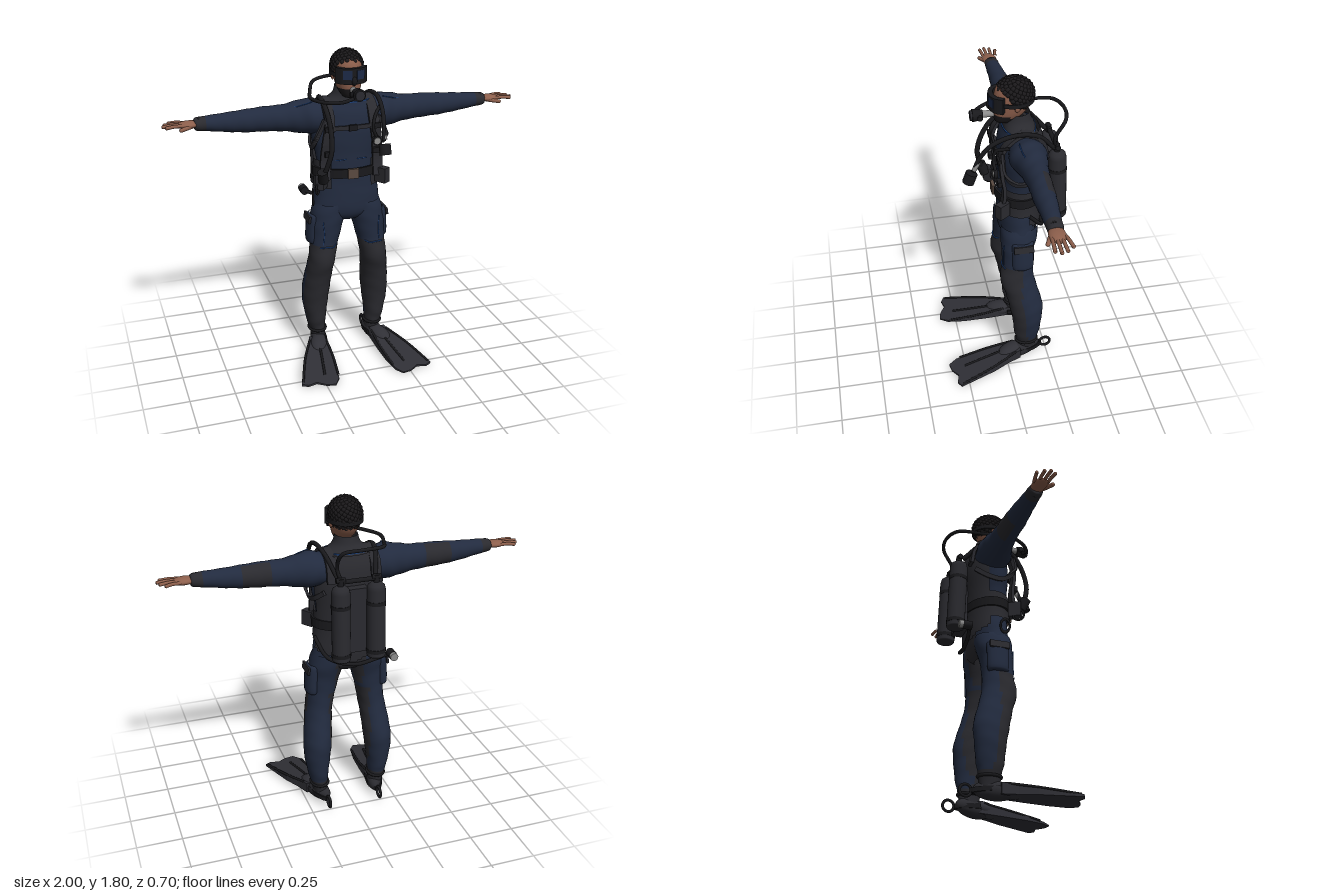
import * as THREE from 'three';
import { mergeGeometries } from 'three/addons/utils/BufferGeometryUtils.js';

const mat = (name, color, side = THREE.FrontSide) => Object.assign(new THREE.MeshStandardMaterial({ color, side }), { name });
const suit = mat('navy suit', 0x222b3f), gear = mat('charcoal gear', 0x2a2a2f, THREE.DoubleSide);
const rubber = mat('black rubber', 0x19191c), fin = mat('fin grey', 0x303036), skin = mat('skin', 0x8d5f4c);
const hair = mat('hair', 0x1b191b), trim = mat('blue trim', 0x1d437f), metal = mat('metal', 0x8c8c8c);
const bronze = mat('bronze buckle', 0x5a4a40), lens = mat('blue lens', 0x1d2a48);
const V = (p) => new THREE.Vector3(...p);

function add(parent, name, geo, material, pos = [0, 0, 0], rot = [0, 0, 0], scale = [1, 1, 1]) {
  const m = new THREE.Mesh(geo, material);
  m.name = name;
  m.position.set(...pos); m.rotation.set(...rot); m.scale.set(...scale);
  parent.add(m);
  return m;
}

// Smooth skin through elliptical rings [height, cx, cz, rx, rz]; pick gives a material index, or -1 for a gap
function loft(rings, { seg = 28, sub = 4, pick = () => 0, ripple = 0 } = {}) {
  const rows = [], cr = (a, b, c, d, t) => b + 0.5 * t * (c - a + t * (2 * a - 5 * b + 4 * c - d + t * (3 * (b - c) + d - a)));
  const at = (i) => rings[Math.min(Math.max(i, 0), rings.length - 1)];
  for (let i = 0; i < (rings.length - 1) * sub + 1; i++) {
    const k = Math.floor(i / sub), t = (i % sub) / sub;
    rows.push(at(k).map((_, c) => cr(at(k - 1)[c], at(k)[c], at(k + 1)[c], at(k + 2)[c], t)));
  }
  const pos = [], buckets = [], w = seg;
  for (const [h, cx, cz, rx, rz] of rows) for (let j = 0; j < seg; j++) {
    const a = j / seg * Math.PI * 2, f = 1 + ripple * Math.sin(h * 70 + 1.6 * Math.sin(2 * a));
    pos.push(cx + Math.cos(a) * rx * f, h, cz + Math.sin(a) * rz * f);
  }
  const quad = (a, b, c, d) => {
    const mid = [0, 1, 2].map((k) => (pos[a * 3 + k] + pos[d * 3 + k]) / 2), m = pick(...mid);
    if (m >= 0) (buckets[m] ??= []).push(a, b, c, b, d, c);
  };
  for (let i = 0; i < rows.length - 1; i++) for (let j = 0; j < seg; j++) {
    const n = (j + 1) % seg;
    quad(i * w + j, (i + 1) * w + j, i * w + n, (i + 1) * w + n);
  }
  const g = new THREE.BufferGeometry(), index = [];
  g.setAttribute('position', new THREE.Float32BufferAttribute(pos, 3));
  buckets.forEach((b, m) => { g.addGroup(index.length, b.length, m); index.push(...b); });
  g.setIndex(index);
  g.computeVertexNormals();
  return g;
}

// Flat webbing of rectangular section along a curve, wide in direction w
function band(points, width, thick, w, closed = false, n = 32) {
  const curve = new THREE.CatmullRomCurve3(points.map(V), closed), rows = [], pos = [];
  for (let i = 0; i <= n; i++) {
    const p = curve.getPointAt(i / n), t = curve.getTangentAt(i / n);
    const u = V(w).addScaledVector(t, -V(w).dot(t)).normalize(), v = t.clone().cross(u);
    rows.push([[-1, -1], [1, -1], [1, 1], [-1, 1]].map(([a, b]) => p.clone().addScaledVector(u, a * width / 2).addScaledVector(v, b * thick / 2)));
  }
  const tri = (...ps) => ps.forEach((p) => pos.push(p.x, p.y, p.z));
  for (let i = 0; i < n; i++) for (let j = 0; j < 4; j++) {
    const k = (j + 1) % 4, A = rows[i], B = rows[i + 1];
    tri(A[j], A[k], B[j]); tri(A[k], B[k], B[j]);
  }
  const s = rows[0], e = rows[n];
  tri(s[0], s[2], s[1]); tri(s[0], s[3], s[2]); tri(e[0], e[1], e[2]); tri(e[0], e[2], e[3]);
  const g = new THREE.BufferGeometry();
  g.setAttribute('position', new THREE.Float32BufferAttribute(pos, 3));
  g.computeVertexNormals();
  return g;
}
const hoop = (y, cz, rx, rz) => Array.from({ length: 16 }, (_, i) => [Math.cos(i * Math.PI / 8) * rx, y, cz + Math.sin(i * Math.PI / 8) * rz]);
const tube = (pts, r, n = 40) => new THREE.TubeGeometry(new THREE.CatmullRomCurve3(pts.map(V)), n, r, 8);
const cyl = (r, h, r2 = r) => new THREE.CylinderGeometry(r, r2, h, 20);
const box = (x, y, z) => new THREE.BoxGeometry(x, y, z);
const ball = () => new THREE.SphereGeometry(1, 20, 14);

// Everything that exists once per side, modelled on +x
function buildSide() {
  const g = new THREE.Group();
  add(g, 'leg', loft([[.05, .165, -.125, .04, .05], [.12, .172, -.125, .045, .06], [.16, .177, -.125, .053, .066], [.2, .18, -.125, .058, .075],
    [.3, .183, -.125, .073, .085], [.4, .178, -.118, .079, .097], [.5, .168, -.095, .077, .095], [.6, .155, -.068, .075, .097],
    [.7, .14, -.072, .08, .087], [.8, .125, -.075, .092, .092], [.88, .11, -.085, .098, .103], [.94, .1, -.088, .088, .1]], {
    ripple: .014, pick: (x, y, z) => (y < .15 || (y < .69 && (z > -.085 - .1 * Math.max(0, .5 - y) || x < .12)) || (y > .72 && z < -.1 && x < .08)) ? 1 : 0 }), [suit, gear]);
  add(g, 'kneeTrim', tube([[.085, .7, -.012], [.11, .69, .012], [.145, .695, .018], [.185, .69, .004]], .004, 16), trim);
  add(g, 'thighTrim', tube([[.165, .85, .008], [.16, .78, .01], [.165, .71, .011]], .0025, 12), trim);
  add(g, 'thighPocket', loft([[.7, .2, -.09, .02, .045], [.715, .203, -.09, .036, .06], [.79, .2, -.09, .038, .062], [.86, .19, -.09, .042, .062], [.875, .185, -.09, .03, .05]], { seg: 16 }), suit);
  add(g, 'pocketFlap', box(.012, .04, .11), gear, [.229, .85, -.09], [0, 0, .15]);

  // sleeve, laid out along +x
  add(g, 'arm', loft([[.12, -1.43, -.11, .08, .09], [.2, -1.435, -.11, .096, .1], [.27, -1.435, -.115, .088, .082], [.35, -1.435, -.115, .073, .068],
    [.45, -1.438, -.115, .068, .06], [.55, -1.438, -.112, .062, .058], [.65, -1.44, -.11, .053, .05], [.75, -1.445, -.105, .042, .043],
    [.82, -1.447, -.103, .034, .038], [.83, -1.447, -.103, .015, .02]], {
    ripple: .018, pick: (a, h, z) => (h > .77 || (h > .43 && h < .58 && z < -.125)) ? 1 : 0 }), [suit, gear], [0, 0, 0], [0, 0, -Math.PI / 2]);
  add(g, 'cuff', cyl(.037, .02), rubber, [.8, 1.447, -.103], [0, 0, Math.PI / 2]);
  add(g, 'shoulderTrim', tube([[.2, 1.525, -.06], [.25, 1.512, -.063], [.31, 1.497, -.075]], .003, 12), trim);
  // hand
  add(g, 'palm', ball(), skin, [.86, 1.449, -.1], [0, 0, -.02], [.062, .02, .042]);
  [[-.137, .965, -.152], [-.114, .99, -.12], [-.091, 1, -.09], [-.069, .985, -.062]].forEach(([z, x, ez]) =>
    add(g, 'finger', tube([[.88, 1.451, z], [(x + .88) / 2, 1.454, (z + ez) / 2], [x - .004, 1.449, ez]], .0095, 8), skin) &&
    add(g, 'fingertip', ball(), skin, [x - .009, 1.45, ez], [0, 0, 0], [.009, .0093, .0093]));
  add(g, 'thumb', new THREE.CapsuleGeometry(.011, .065, 4, 10), skin, [.875, 1.44, -.06], [0, -.45, Math.PI / 2 - .1]);

  // boot and swim fin
  add(g, 'boot', ball(), gear, [.175, .055, -.1], [.1, .3, 0], [.047, .052, .112]);
  add(g, 'ankleBand', new THREE.TorusGeometry(.048, .009, 8, 20), rubber, [.172, .125, -.125], [Math.PI / 2, 0, 0], [1, 1.25, 1]);
  const outline = [[.14, -.08], [.235, -.08], [.265, 0], [.31, .09], [.385, .3], [.35, .318], [.3, .305], [.25, .338], [.2, .347], [.168, .3], [.15, .2], [.142, .06]];
  const blade = new THREE.ExtrudeGeometry(new THREE.Shape(outline.map(([x, z]) => new THREE.Vector2(x, -z))), { depth: 1, bevelEnabled: false });
  blade.rotateX(-Math.PI / 2);
  const top = (z) => .012 + .075 * Math.max(0, (.34 - z) / .42);
  const p = blade.attributes.position;
  for (let i = 0; i < p.count; i++) p.setY(i, p.getY(i) > .5 ? top(p.getZ(i)) : .004 + .022 * Math.max(0, (.34 - p.getZ(i)) / .42));
  blade.computeVertexNormals();
  add(g, 'finBlade', blade, fin);
  [[[.145, -.05], [.147, .1], [.165, .28]], [[.24, -.05], [.31, .1], [.375, .29]], [[.195, 0], [.215, .12], [.24, .26]]].forEach((r) =>
    add(g, 'finRib', tube(r.map(([x, z]) => [x, top(z), z]), .007, 12), rubber));
  add(g, 'footPocket', ball(), fin, [.19, .058, -.03], [.18, .32, 0], [.052, .042, .09]);
  add(g, 'heelStrap', band([[.13, .06, -.07], [.125, .055, -.16], [.155, .052, -.215], [.195, .055, -.17], [.225, .06, -.07]], .025, .008, [0, 1, 0]), rubber);
  add(g, 'heelRing', new THREE.TorusGeometry(.031, .008, 8, 24), rubber, [.152, .052, -.245], [0, Math.PI / 2, 0]);

  // harness
  add(g, 'shoulderStrap', band([[.15, 1.1, .02], [.15, 1.2, .005], [.14, 1.32, .02], [.125, 1.42, .018], [.125, 1.49, -.025], [.12, 1.53, -.1], [.12, 1.48, -.2], [.12, 1.38, -.225]], .055, .018, [1, 0, 0]), gear);
  add(g, 'armholeStrap', band([[.15, 1.44, .015], [.2, 1.33, .005], [.205, 1.27, -.06], [.195, 1.28, -.14], [.16, 1.33, -.21]], .025, .014, [.3, 1, .3]), gear);
  for (const y of [1.25, 1.39]) add(g, 'strapBuckle', box(.045, .03, .022), rubber, [.135, y, .03]);
  add(g, 'beltPouch', box(.045, .085, .07), gear, [.175, 1.1, .02], [0, .6, 0]);
  // tank
  const tank = new THREE.Group();
  tank.name = 'tank'; tank.position.set(.097, 1.18, -.294); tank.rotation.x = .035;
  add(tank, 'tankBody', new THREE.LatheGeometry([[0, -.205], [.046, -.205], [.05, -.198], [.05, .17], [.044, .195], [.025, .21], [0, .212]].map((q) => new THREE.Vector2(...q)), 24), gear);
  for (const y of [-.17, .1]) add(tank, 'tankBand', cyl(.052, .02), rubber, [0, y, 0]);
  add(tank, 'tankValve', cyl(.016, .05), rubber, [0, .225, 0]);
  add(tank, 'valveKnob', cyl(.014, .05), rubber, [0, .24, 0], [0, 0, Math.PI / 2]);
  g.add(tank);
  add(g, 'ear', ball(), skin, [.079, 1.66, -.075], [0, .3, 0], [.01, .026, .016]);
  return g;
}

export function createModel() {
  const model = new THREE.Group();
  model.name = 'scubaDiver';
  const left = buildSide(), right = buildSide();
  left.name = 'leftSide'; right.name = 'rightSide'; right.scale.x = -1;
  model.add(left, right);

  // torso and vest
  add(model, 'torso', loft([[.84, 0, -.085, .08, .07], [.88, 0, -.087, .19, .1], [.95, 0, -.088, .19, .108], [1.05, 0, -.09, .176, .105], [1.13, 0, -.09, .163, .104],
    [1.22, 0, -.095, .175, .108], [1.32, 0, -.097, .197, .115], [1.4, 0, -.1, .2, .115], [1.46, 0, -.1, .19, .105], [1.505, 0, -.1, .16, .09],
    [1.535, 0, -.097, .1, .08], [1.56, 0, -.092, .073, .072], [1.6, 0, -.09, .062, .066]], {
    seg: 36, ripple: .006, pick: (x, y, z) => (y > 1.515 || (z < -.1 && Math.abs(x) < .09)) ? 1 : 0 }), [suit, gear]);
  add(model, 'vest', loft([[.9, 0, -.09, .19, .125], [.97, 0, -.092, .198, .128], [1.08, 0, -.095, .186, .125], [1.22, 0, -.1, .187, .125],
    [1.35, 0, -.104, .2, .13], [1.45, 0, -.105, .19, .122], [1.515, 0, -.105, .14, .1]], {
    seg: 48, sub: 6, pick: (x, y, z) => (z < -.13 && y > .9 + .5 * Math.abs(x) ** 1.1) || (y > 1.04 && y < 1.2 && Math.abs(x) > .115) ? 0 : -1 }), gear);
  add(model, 'collarTrim', band(hoop(1.518, -.097, .14, .087), .006, .006, [0, 1, 0], true), trim);
  for (const s of [-1, 1]) add(model, 'chestTrim', tube([[s * .03, 1.205, .014], [s * .09, 1.2, .001]], .0025, 6), trim);
  add(model, 'belt', band(hoop(1.13, -.093, .19, .128), .052, .012, [0, 1, 0], true, 48), rubber);
  add(model, 'beltBuckle', box(.06, .055, .016), bronze, [0, 1.13, .042]);
  add(model, 'sternumStrap', band([[-.13, 1.39, .025], [0, 1.388, .028], [.13, 1.39, .025]], .024, .01, [0, 1, 0]), gear);
  add(model, 'sternumClip', box(.045, .032, .016), rubber, [0, 1.388, .032]);
  add(model, 'backPlate', box(.11, .36, .06), gear, [0, 1.18, -.25]);
  add(model, 'manifold', cyl(.012, .2), rubber, [0, 1.41, -.285], [0, 0, Math.PI / 2]);

  // hoses and gauges
  add(model, 'breathingHose', tube([[0, 1.585, .125], [-.08, 1.56, .125], [-.16, 1.55, .07], [-.21, 1.55, -.03], [-.18, 1.555, -.17], [-.12, 1.58, -.3], [0, 1.59, -.34], [.1, 1.575, -.325], [.11, 1.48, -.27], [.09, 1.41, -.28]], .01, 80), rubber);
  add(model, 'spareHose', tube([[.1, 1.41, -.27], [.14, 1.52, -.17], [.155, 1.545, -.05], [.15, 1.5, .07], [.14, 1.42, .135], [.13, 1.34, .165]], .012), rubber);
  add(model, 'spareConnector', cyl(.012, .05), metal, [.137, 1.37, .152], [-.5, 0, 0]);
  add(model, 'spareRegulator', cyl(.032, .06), rubber, [.13, 1.3, .185], [-.35, 0, 0]);
  add(model, 'inflatorHose', tube([[-.1, 1.41, -.27], [-.14, 1.53, -.13], [-.14, 1.49, 0], [-.135, 1.4, .07], [-.14, 1.29, .1], [-.16, 1.2, .085], [-.18, 1.13, .06]], .014), rubber);
  add(model, 'inflator', cyl(.028, .07), rubber, [-.18, 1.14, .065], [.4, 0, .2]);
  add(model, 'gaugeHose', tube([[.17, 1.48, -.02], [.12, 1.44, .045], [.11, 1.38, .055], [.13, 1.33, .05]], .009), rubber);
  add(model, 'gaugeCase', cyl(.026, .02), rubber, [.13, 1.31, .05], [Math.PI / 2, 0, 0]);
  add(model, 'gaugeFace', cyl(.018, .006), metal, [.13, 1.31, .062], [Math.PI / 2, 0, 0]);
  add(model, 'hipHose', tube([[.19, 1.05, -.12], [.14, .95, -.2], [0, .9, -.225], [-.12, .92, -.235], [-.2, .95, -.25]], .011), rubber);
  add(model, 'hipHoseEnd', cyl(.024, .05), rubber, [-.2, .95, -.265], [Math.PI / 2, 0, 0]);
  add(model, 'hipHoseCap', cyl(.022, .022), metal, [-.2, .95, -.3], [Math.PI / 2, 0, 0]);
  add(model, 'clipRing', new THREE.TorusGeometry(.03, .006, 8, 24), rubber, [-.2, 1.06, .03], [0, 1, 0]);
  add(model, 'hipClip', new THREE.TorusGeometry(.025, .006, 8, 20), rubber, [-.205, .98, -.05], [0, 1.3, 0], [1, 1.6, 1]);

  // head and hair
  add(model, 'head', loft([[1.545, 0, -.025, .012, .02], [1.555, 0, -.022, .04, .05], [1.6, 0, -.045, .064, .083], [1.65, 0, -.06, .075, .1], [1.7, 0, -.067, .078, .101],
    [1.75, 0, -.072, .07, .088], [1.785, 0, -.074, .03, .04]], { pick: (x, y, z) => (y < 1.605 && z > -.05) ? 1 : 0 }), [skin, hair]);
  const inHair = (x, y, z) => y > 1.6 + .14 * THREE.MathUtils.smoothstep(z, -.11, -.01);
  const knobs = [];
  for (let i = 0; i < 260; i++) {
    const h = 1 - 2 * (i + .5) / 260, a = i * 2.39996, r = Math.sqrt(1 - h * h);
    const q = [Math.cos(a) * r * .08, 1.702 + h * .085, -.075 + Math.sin(a) * r * .095];
    if (inHair(...q)) knobs.push(new THREE.IcosahedronGeometry(.0145, 1).translate(...q));
  }
  add(model, 'hairKnobs', mergeGeometries(knobs), hair);
  add(model, 'hairCap', loft(Array.from({ length: 13 }, (_, i) => {
    const a = -Math.PI / 2 + i * Math.PI / 12;
    return [1.702 + Math.sin(a) * .09, 0, -.075, Math.cos(a) * .084, Math.cos(a) * .1];
  }), { sub: 2, pick: (x, y, z) => (inHair(x, y, z) ? 0 : -1) }), hair);

  // mask and mouthpiece
  add(model, 'maskStrap', band(hoop(1.675, -.07, .091, .106), .022, .007, [0, 1, 0], true), rubber);
  add(model, 'maskFrame', band([[-.078, 1.675, -.005], [-.05, 1.675, .035], [0, 1.675, .05], [.05, 1.675, .035], [.078, 1.675, -.005]], .085, .025, [0, 1, 0]), rubber);
  for (const s of [-1, 1]) add(model, 'maskLens', box(.05, .048, .006), lens, [s * .036, 1.682, .054], [0, s * .36, 0]);
  add(model, 'nosePocket', ball(), rubber, [0, 1.65, .055], [0, 0, 0], [.016, .026, .018]);
  add(model, 'mouthpiece', cyl(.018, .08), metal, [0, 1.597, .06], [Math.PI / 2, 0, 0]);
  add(model, 'regulatorBody', cyl(.034, .055, .027), rubber, [0, 1.595, .12], [Math.PI / 2, 0, 0]);
  add(model, 'regulatorCover', cyl(.026, .014), gear, [0, 1.595, .152], [Math.PI / 2, 0, 0]);
  add(model, 'regulatorValve', cyl(.014, .08), rubber, [0, 1.593, .11], [0, 0, Math.PI / 2]);
  return model;
}
